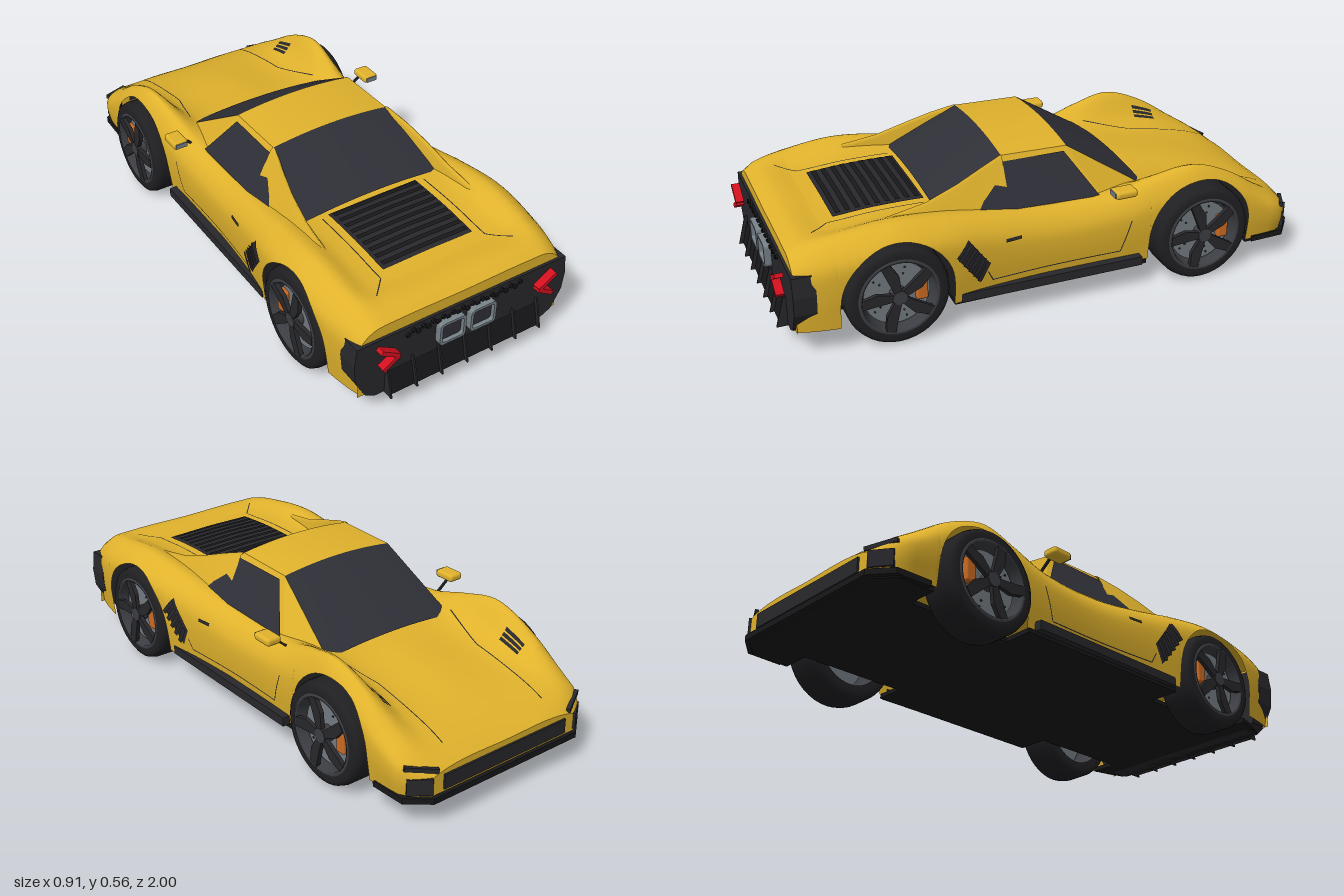
import * as THREE from 'three';
import { RoundedBoxGeometry } from 'three/addons/geometries/RoundedBoxGeometry.js';

const mat = (name, color) => new THREE.MeshStandardMaterial({ name, color, side: THREE.DoubleSide });
const V = (x, y, z) => new THREE.Vector3(x, y, z);
const lerp = THREE.MathUtils.lerp;
const FLOOR = 0.1, WHEEL_Y = 0.186, ARCH = 0.203, AXLES = [-0.57, 0.6];

// Body stations: z, half width, shoulder height, fender crest height, centre height
const KEYS = [
  [-0.985, 0.335, 0.175, 0.19, 0.2],
  [-0.93, 0.405, 0.21, 0.235, 0.235],
  [-0.85, 0.42, 0.25, 0.287, 0.268],
  [-0.7, 0.424, 0.335, 0.385, 0.308],
  [-0.55, 0.424, 0.37, 0.438, 0.335],
  [-0.4, 0.413, 0.34, 0.412, 0.355],
  [-0.25, 0.408, 0.31, 0.37, 0.36],
  [0, 0.406, 0.3, 0.36, 0.36],
  [0.25, 0.422, 0.33, 0.388, 0.385],
  [0.4, 0.442, 0.355, 0.416, 0.4],
  [0.6, 0.458, 0.37, 0.437, 0.404],
  [0.8, 0.447, 0.35, 0.415, 0.391],
  [0.9, 0.43, 0.335, 0.392, 0.398],
  [0.95, 0.415, 0.32, 0.362, 0.368]];

// Smooth interpolation between the stations
function keysAt(z) {
  let i = 0;
  while (i < KEYS.length - 2 && z > KEYS[i + 1][0]) i++;
  const a = KEYS[i], b = KEYS[i + 1], p = KEYS[i - 1] || a, n = KEYS[i + 2] || b;
  const h = b[0] - a[0], t = (z - a[0]) / h, t2 = t * t, t3 = t2 * t;
  return a.map((v, k) => {
    const m0 = h * (b[k] - p[k]) / (b[0] - p[0]), m1 = h * (n[k] - v) / (n[0] - a[0]);
    return (2 * t3 - 3 * t2 + 1) * v + (t3 - 2 * t2 + t) * m0 + (3 * t2 - 2 * t3) * b[k] + (t3 - t2) * m1;
  });
}
// Cross-section from sill over shoulder, crest and valley to the centre and back down
function section(z) {
  const [, w, shoulder, crest, centre] = keysAt(z), crestX = Math.min(0.365, w * 0.86);
  const half = [[w * 0.965, FLOOR], [w, lerp(FLOOR, shoulder, 0.62)], [w - 0.008, shoulder],
    [crestX, crest], [crestX - 0.1, centre + 0.002]];
  return new THREE.CatmullRomCurve3([...half.map(([x, y]) => V(x, y, z)), V(0, centre, z),
    ...half.slice().reverse().map(([x, y]) => V(-x, y, z))]);
}
function solve(f, lo, hi) {
  for (let i = 0; i < 24; i++) { const m = (lo + hi) / 2; if (f(m) < 0) lo = m; else hi = m; }
  return (lo + hi) / 2;
}
const surfaceX = (y, z) => { const c = section(z); return c.getPoint(solve(t => c.getPoint(t).y - y, 0, 0.3)).x; };
const surfaceY = (x, z) => { const c = section(z); return c.getPoint(solve(t => x - c.getPoint(t).x, 0.2, 0.8)).y; };
// solve() expects a rising function; x falls with t, so its sign is turned above

// Grid surface from rows of points
function grid(rows) {
  const n = rows[0].length, index = [];
  for (let i = 0; i < rows.length - 1; i++) for (let j = 0; j < n - 1; j++) {
    const a = i * n + j;
    index.push(a, a + n, a + 1, a + 1, a + n, a + n + 1);
  }
  const g = new THREE.BufferGeometry().setFromPoints(rows.flat());
  g.setIndex(index);
  g.computeVertexNormals();
  return g;
}
function patch(fn, nu = 8, nv = 8) {
  return grid(Array.from({ length: nv + 1 }, (_, j) => Array.from({ length: nu + 1 }, (_, i) => fn(i / nu, j / nv))));
}
const bilinear = ([a, b, c, d], u, v, k) => lerp(lerp(a[k], b[k], u), lerp(d[k], c[k], u), v);
const drapeTop = (q, lift = 0.004) => patch((u, v) => {
  const x = bilinear(q, u, v, 0), z = bilinear(q, u, v, 1);
  return V(x, surfaceY(x, z) + lift, z);
});
const drapeSide = (q, s, lift = 0.004) => patch((u, v) => {
  const z = bilinear(q, u, v, 0), y = bilinear(q, u, v, 1);
  return V(s * (surfaceX(y, z) + lift), y, z);
});
// Thin quad around a line in two dimensions
function stroke(a, b, w = 0.004) {
  const l = Math.hypot(b[0] - a[0], b[1] - a[1]), nx = -(b[1] - a[1]) / l * w / 2, ny = (b[0] - a[0]) / l * w / 2;
  return [[a[0] + nx, a[1] + ny], [b[0] + nx, b[1] + ny], [b[0] - nx, b[1] - ny], [a[0] - nx, a[1] - ny]];
}
const shape = pts => new THREE.Shape(pts.map(p => new THREE.Vector2(...p)));
const extrude = (s, depth) => new THREE.ExtrudeGeometry(s, { depth, bevelEnabled: false, curveSegments: 6 });
const mirrored = pts => [...pts, ...pts.slice().reverse().map(([x, y]) => [-x, y])];
function roundRect(C, w, h, r) {
  const s = new C();
  s.moveTo(-w + r, -h); s.lineTo(w - r, -h); s.quadraticCurveTo(w, -h, w, -h + r);
  s.lineTo(w, h - r); s.quadraticCurveTo(w, h, w - r, h); s.lineTo(-w + r, h);
  s.quadraticCurveTo(-w, h, -w, h - r); s.lineTo(-w, -h + r); s.quadraticCurveTo(-w, -h, -w + r, -h);
  return s;
}

export function createModel() {
  const car = new THREE.Group();
  const paint = mat('yellow paint', 0xe0b22c), trim = mat('dark trim', 0x28282c), glass = mat('dark glass', 0x2f2f37),
    rubber = mat('tyre rubber', 0x202023), under = mat('underside black', 0x18181a), steel = mat('brake steel', 0x737a80),
    rim = mat('rim grey', 0x3c3e43), silver = mat('exhaust silver', 0x78838a), red = mat('tail light red', 0xd3101f),
    orange = mat('caliper orange', 0xcc6a22);
  const add = (name, g, m, x = 0, y = 0, z = 0, parent = car) => {
    const o = new THREE.Mesh(g, m);
    o.name = name; o.position.set(x, y, z); parent.add(o);
    return o;
  };
  const box = (name, w, h, d, m, x, y, z) => add(name, new THREE.BoxGeometry(w, h, d), m, x, y, z);
  const bar = (name, a, b, w, h, m) => {
    const mid = a.clone().add(b).multiplyScalar(0.5);
    add(name, new THREE.BoxGeometry(w, h, a.distanceTo(b)), m, mid.x, mid.y, mid.z).lookAt(b);
  };

  // Body shell, cut open at the wheel arches
  const stations = [];
  for (let i = 0; i <= 50; i++) stations.push(lerp(-0.985, 0.95, i / 50));
  for (const c of AXLES) {
    for (let i = 0; i <= 24; i++) stations.push(c - ARCH * Math.cos(Math.PI * i / 24));
    stations.push(c - ARCH - 0.001, c + ARCH + 0.001);
  }
  stations.sort((a, b) => a - b);
  const ring = z => {
    let bottom = FLOOR;
    for (const c of AXLES) {
      const d = Math.abs(z - c);
      if (d <= ARCH + 1e-6) bottom = WHEEL_Y + Math.sqrt(Math.max(0, ARCH * ARCH - d * d));
    }
    const c = section(z), t0 = bottom > FLOOR ? solve(t => c.getPoint(t).y - bottom, 0, 0.3) : 0, half = [];
    for (let i = 0; i < 12; i++) half.push(c.getPoint(lerp(t0, 0.3, i / 12)));
    for (let i = 0; i <= 12; i++) half.push(c.getPoint(lerp(0.3, 0.5, i / 12)));
    return [...half, ...half.slice(0, -1).reverse().map(p => V(-p.x, p.y, p.z))];
  };
  add('bodyShell', grid(stations.filter((z, i) => !i || z - stations[i - 1] > 1e-5).map(ring)), paint);
  for (const [name, z] of [['noseCap', -0.985], ['tailCap', 0.95]])
    add(name, grid([ring(z), ring(z).map(p => V(p.x, FLOOR, z))]), paint);

  // Floor notched for the wheels, and front splitter
  const plan = (name, pts, top, depth) => add(name, extrude(shape(mirrored(pts)), depth).rotateX(Math.PI / 2), under, 0, top);
  plan('floor', [[0.33, -0.98], [0.4, -0.92], [0.4, -0.78], [0.29, -0.78], [0.29, -0.36], [0.4, -0.36], [0.41, 0.39],
    [0.29, 0.39], [0.29, 0.81], [0.4, 0.81], [0.36, 0.95]], 0.102, 0.017);
  plan('frontSplitter', [[0.33, -1], [0.41, -0.935], [0.415, -0.8], [0.3, -0.8]], 0.112, 0.022);

  // Cabin: screens and roof with a slight crown
  const crown = (a, b) => patch((u, v) => {
    const p = a.clone().lerp(b, v);
    return V(p.x * (1 - 2 * u), p.y + 0.018 * (1 - (2 * u - 1) ** 2), p.z);
  }, 12, 4);
  const A = V(0.285, 0.345, -0.4), B = V(0.24, 0.54, -0.1), C = V(0.24, 0.545, 0.15), D = V(0.285, 0.4, 0.41);
  add('windscreen', crown(A, B), glass);
  add('roof', crown(B, C), paint);
  add('rearWindow', crown(C, D), glass);

  // Engine cover with slats
  add('engineCover', drapeTop([[-0.185, 0.42], [0.185, 0.42], [0.185, 0.75], [-0.185, 0.75]]), trim);
  for (let i = 0; i < 9; i++) {
    const z = 0.44 + i * 0.036;
    add('engineSlat', drapeTop(stroke([-0.175, z], [0.175, z], 0.018), 0.01), under);
  }

  // Rear panel, exhausts, grille and diffuser
  add('rearPanel', extrude(shape(mirrored([[0.428, 0.325], [0.437, 0.25], [0.43, 0.18], [0.39, 0.105], [0.35, 0.085]])), 0.08), trim, 0, 0, 0.88);
  add('diffuserRamp', patch((u, v) => V(lerp(-0.31, 0.31, u), lerp(0.175, 0.085, v), lerp(0.963, 0.985, v)), 1, 1), under);
  for (let i = -3; i <= 3; i++)
    add('diffuserFin', extrude(shape([[-0.95, 0.195], [-0.95, 0.082], [-1, 0.082], [-0.97, 0.195]]), 0.006).rotateY(Math.PI / 2), trim, i * 0.104 - 0.003);
  for (let i = 0; i < 24; i++)
    add('grilleCell', new THREE.CylinderGeometry(0.009, 0.009, 0.01, 6).rotateX(Math.PI / 2), under, -0.23 + i * 0.02, 0.3 + (i % 2 ? 0.006 : -0.006), 0.962);
  box('noseGrille', 0.56, 0.055, 0.008, trim, 0, 0.15, -0.988);

  for (const s of [-1, 1]) {
    // Cabin sides: pillar, side glass and rear buttress
    const P = v => V(v.x * s, v.y, v.z), E = V(0.33, 0.35, -0.21), F = V(0.335, 0.37, 0.3);
    const quad = (name, m, a, b, c, d) => add(name, patch((u, v) => P(a.clone().lerp(b, u).lerp(d.clone().lerp(c, u), v)), 1, 1), m);
    quad('windscreenPillar', paint, A, B, B, E);
    quad('sidePanel', paint, B, C, F, E);
    quad('sideWindow', glass, V(0.253, 0.526, -0.085), V(0.253, 0.526, 0.155), V(0.338, 0.38, 0.275), V(0.336, 0.365, -0.195));
    const fin = [[0.15, 0.24, 0.548], [0.24, 0.265, 0.52], [0.33, 0.285, 0.487], [0.45, 0.3, 0.447], [0.6, 0.31, 0.423]];
    add('buttress', grid(fin.map(([z, x, y]) => [V(s * 0.335, 0.37, z), V(s * (x + 0.012), y - 0.008, z), V(s * x, y, z),
      V(s * (x - 0.01), y - 0.012, z), V(s * (x - 0.015), 0.37, z)])), paint);

    // Wing mirror
    add('mirror', new RoundedBoxGeometry(0.06, 0.03, 0.085, 3, 0.012), paint, s * 0.425, 0.412, -0.245);
    box('mirrorGlass', 0.045, 0.018, 0.004, silver, s * 0.425, 0.412, -0.202);
    bar('mirrorArm', V(s * 0.35, 0.36, -0.26), V(s * 0.41, 0.408, -0.26), 0.008, 0.008, trim);

    // Side vent, skirt, door lines and handle
    const vent = [[0.392, 0.29], [0.345, 0.345], [0.265, 0.235], [0.3, 0.165]];
    add('sideVent', drapeSide(vent, s), trim);
    for (let i = 0; i < 5; i++) {
      const at = (p, q) => [lerp(p[0], q[0], (i + 0.5) / 5), lerp(p[1], q[1], (i + 0.5) / 5)];
      add('ventSlat', drapeSide(stroke(at(vent[0], vent[3]), at(vent[1], vent[2]), 0.018), s, 0.014), trim);
    }
    box('sideSkirt', 0.03, 0.034, 0.7, trim, s * 0.412, 0.115, 0.02);
    for (const [a, b] of [[[0.25, 0.16], [-0.25, 0.16]], [[-0.25, 0.16], [-0.29, 0.28]], [[0.25, 0.16], [0.27, 0.2]]])
      add('doorLine', drapeSide(stroke(a, b), s, 0.002), trim);
    add('doorHandle', drapeSide(stroke([0.2, 0.305], [0.14, 0.305], 0.012), s), trim);

    // Bonnet and deck seams, fender slots
    for (const [a, b] of [[[0.23, -0.92], [0.23, -0.6]], [[0.23, -0.6], [0.28, -0.41]], [[0.215, 0.43], [0.215, 0.78]], [[0.215, 0.78], [0.28, 0.85]]])
      add('panelSeam', drapeTop(stroke([a[0] * s, a[1]], [b[0] * s, b[1]]), 0.002), trim);
    for (const x of [0.295, 0.308, 0.321]) add('fenderSlot', drapeTop(stroke([x * s, -0.74], [x * s, -0.65], 0.009)), trim);

    // Headlight strip and corner intake
    bar('headlight', V(s * 0.3, 0.197, -0.982), V(s * 0.4, 0.215, -0.927), 0.014, 0.016, trim);
    bar('cornerIntake', V(s * 0.325, 0.15, -0.985), V(s * 0.395, 0.15, -0.935), 0.018, 0.06, trim);

    // Tail light chevron and exhaust
    const tip = V(s * 0.288, 0.265, 0.985);
    for (const [x, y] of [[0.358, 0.308], [0.35, 0.226]]) bar('tailLight', V(s * x, y, 0.985), tip, 0.03, 0.016, red);
    const pipe = roundRect(THREE.Shape, 0.053, 0.046, 0.018);
    pipe.holes.push(roundRect(THREE.Path, 0.043, 0.036, 0.012));
    add('exhaust', extrude(pipe, 0.035), silver, s * 0.063, 0.248, 0.95);
    box('exhaustCore', 0.09, 0.076, 0.004, glass, s * 0.063, 0.248, 0.968);

    // Wheels: turned about y, outer face up, then tipped onto the axle
    for (const z of AXLES) {
      const wheel = new THREE.Group();
      wheel.name = z < 0 ? 'noseWheel' : 'tailWheel';
      wheel.position.set(s * 0.375, WHEEL_Y, z);
      wheel.rotation.z = -s * Math.PI / 2;
      car.add(wheel);
      const lathe = (name, pts, m) => add(name, new THREE.LatheGeometry(pts.map(p => new THREE.Vector2(...p)), 40), m, 0, 0, 0, wheel);
      lathe('tyre', [[0.135, -0.07], [0.165, -0.075], [0.18, -0.066], [0.186, -0.045], [0.186, 0.045], [0.18, 0.066], [0.165, 0.076], [0.138, 0.073]], rubber);
      lathe('rimBarrel', [[0.135, -0.07], [0.128, 0.02], [0.132, 0.074], [0.14, 0.078], [0.145, 0.074]], rim);
      add('brakeDisc', new THREE.CylinderGeometry(0.118, 0.118, 0.012, 36), steel, 0, 0.035, 0, wheel);
      add('hub', new THREE.CylinderGeometry(0.026, 0.03, 0.04, 16), rim, 0, 0.06, 0, wheel);
      for (let i = 0; i < 5; i++) {
        const spoke = add('spoke', extrude(shape([[-0.012, 0.015], [-0.026, 0.08], [-0.012, 0.135], [0.022, 0.135], [0.016, 0.07], [0.012, 0.015]]), 0.016).rotateX(Math.PI / 2), trim, 0, 0.078, 0, wheel);
        spoke.rotation.y = i * Math.PI * 0.4;
        for (const r of [0.075, 0.1]) {
          const a = (i + 0.5) * Math.PI * 0.4;
          add('discHole', new THREE.CylinderGeometry(0.004, 0.004, 0.004, 8), trim, r * Math.sin(a), 0.042, r * Math.cos(a), wheel);
        }
      }
      add('caliper', new RoundedBoxGeometry(0.09, 0.028, 0.042, 2, 0.008), orange, -s * 0.012, 0.05, -0.085, wheel);
    }
  }
  return car;
}
